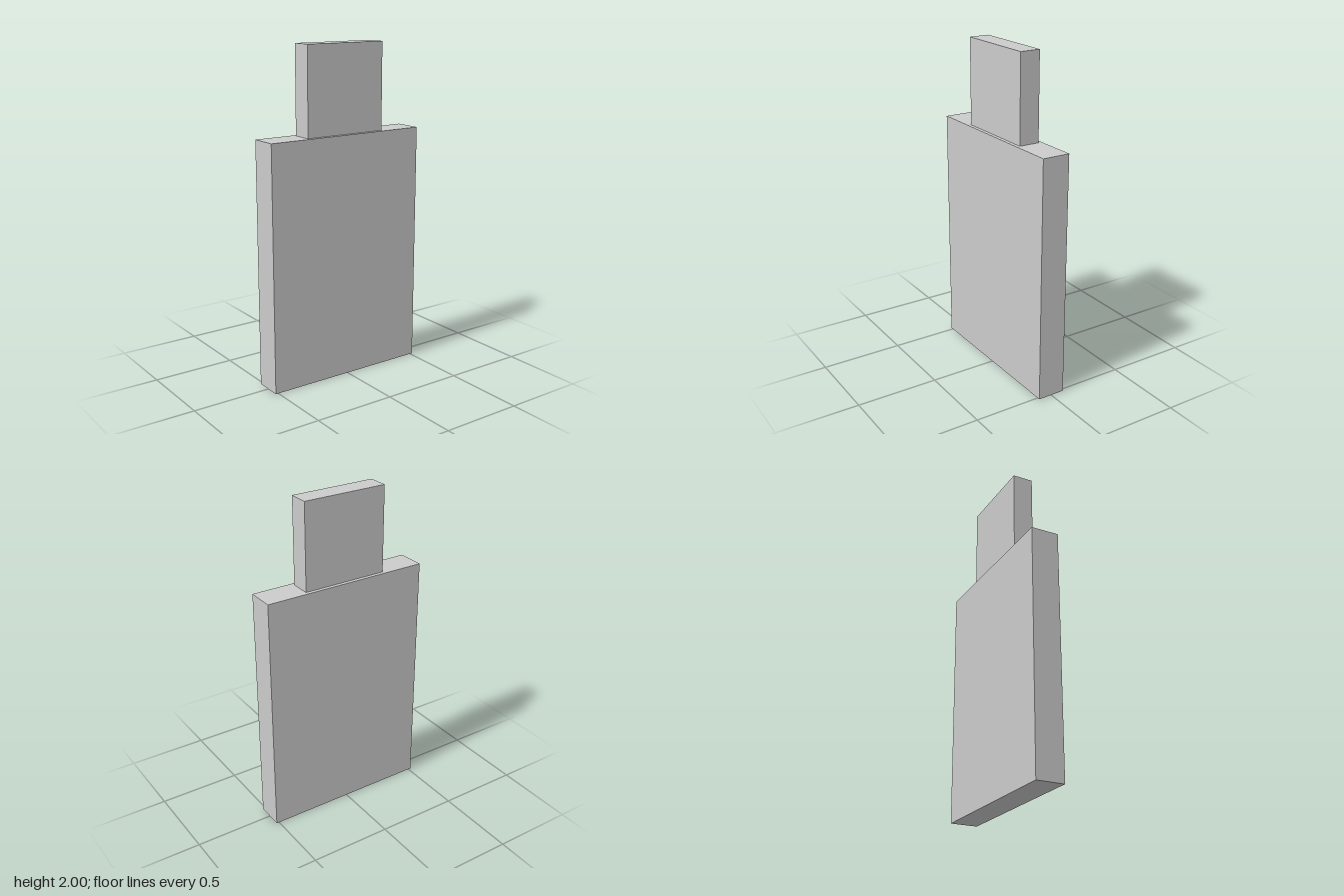
import * as THREE from 'three';

export function createModel() {
  const model = new THREE.Group();
  const material = new THREE.MeshStandardMaterial({ color: 0xcccccc, flatShading: true });

  // Adds a centred slab standing on the given height
  const addSlab = (name, width, height, depth, bottom) => {
    const mesh = new THREE.Mesh(new THREE.BoxGeometry(width, height, depth), material);
    mesh.name = name;
    mesh.position.y = bottom + height / 2;
    model.add(mesh);
  };

  const bodyHeight = 1.477;
  addSlab('body', 1.034, bodyHeight, 0.17, 0);
  // Narrower, thinner connector on top of the body
  addSlab('connector', 0.523, 2 - bodyHeight, 0.125, bodyHeight);

  return model;
}
